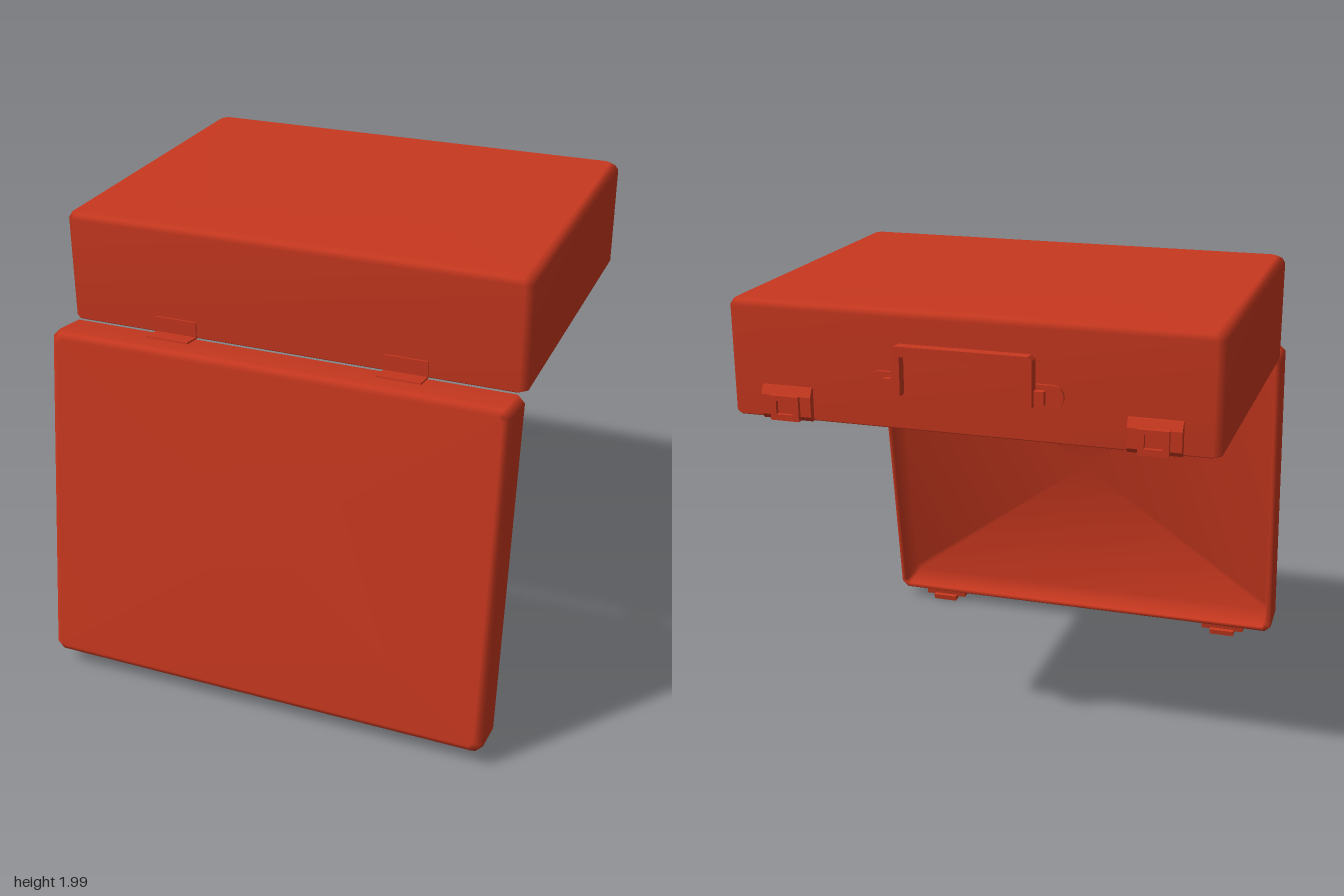
import * as THREE from 'three';

const red = new THREE.MeshStandardMaterial({ color: 0xc8381f });

function add(parent, geometry, name) {
  const mesh = new THREE.Mesh(geometry, red);
  mesh.name = name;
  parent.add(mesh);
  return mesh;
}

// Box given by its extents
function block(parent, name, x0, x1, y0, y1, z0, z1) {
  const mesh = add(parent, new THREE.BoxGeometry(x1 - x0, y1 - y0, z1 - z0), name);
  mesh.position.set((x0 + x1) / 2, (y0 + y1) / 2, (z0 + z1) / 2);
  return mesh;
}

// Rectangle with cut corners, at height y
function ring(hx, hz, cut, y) {
  const corners = [[hx, -hz + cut], [hx, hz - cut], [hx - cut, hz], [-hx + cut, hz],
    [-hx, hz - cut], [-hx, -hz + cut], [-hx + cut, -hz], [hx - cut, -hz]];
  return corners.flatMap(([x, z]) => [x, y, z]);
}

// Hollow shell, open at y = 0, with a bevelled closed top
function trayGeometry(hx, hz, height) {
  const wall = 0.025, bevel = 0.035;
  const inner = (y) => ring(hx - wall, hz - wall, 0.02, y);
  const rings = [
    ring(0, 0, 0, height - wall), inner(height - wall), inner(0),
    ring(hx - 0.006, hz - 0.006, 0.03, 0), ring(hx, hz, 0.03, 0.006),
    ring(hx, hz, 0.03, height - bevel), ring(hx - 0.012, hz - 0.012, 0.03, height - 0.012),
    ring(hx - bevel, hz - bevel, 0.02, height), ring(0, 0, 0, height),
  ];
  const index = [];
  for (let r = 0; r < rings.length - 1; r++) {
    for (let j = 0; j < 8; j++) {
      const a = r * 8 + j, b = r * 8 + (j + 1) % 8, c = a + 8, d = b + 8;
      if (r > 0) index.push(a, c, b);
      if (r === 0) index.push(a, c, d);
      else if (r < rings.length - 2) index.push(b, c, d);
    }
  }
  const geometry = new THREE.BufferGeometry();
  geometry.setAttribute('position', new THREE.Float32BufferAttribute(rings.flat(), 3));
  geometry.setIndex(index);
  geometry.computeVertexNormals();
  return geometry;
}

function extrude(points, depth) {
  const shape = new THREE.Shape(points.map(([x, y]) => new THREE.Vector2(x, y)));
  return new THREE.ExtrudeGeometry(shape, { depth, bevelEnabled: false });
}

export function createModel() {
  const model = new THREE.Group();
  model.name = 'openCase';

  // Upturned case body
  const base = new THREE.Group();
  base.name = 'caseBody';
  model.add(base);
  add(base, trayGeometry(0.985, 0.743, 0.475), 'bodyShell').position.set(0, 1.525, -0.168);

  // Lid hanging from the hinge line
  const lid = new THREE.Group();
  lid.name = 'lid';
  lid.position.set(0, 1.525, 0.58);
  lid.rotation.x = 1.433;
  model.add(lid);
  add(lid, trayGeometry(0.985, 0.744, 0.19), 'lidShell').position.z = 0.744;

  for (const s of [-1, 1]) {
    // Hinge leaves on the body and on the lid
    const x = s * 0.5;
    block(base, 'hingeBodyLeaf', x - 0.092, x + 0.092, 1.525, 1.598, 0.57, 0.582);
    block(lid, 'hingeLidLeaf', x - 0.092, x + 0.092, 0, 0.085, -0.007, 0.005);

    // Body latch: bevelled housing with a raised frame around a recess
    const latchX = s * 0.74;
    const housing = add(base, extrude([[0, 0], [0.012, 0], [0.03, 0.02], [0.03, 0.1],
      [0.012, 0.135], [0, 0.135]], 0.21), 'latchHousing');
    housing.rotation.y = Math.PI / 2;
    housing.position.set(latchX - 0.105, 1.525, -0.91);
    // The extrusion runs along +x with its profile facing -z
    const frame = new THREE.Shape([[-0.06, 0], [0.06, 0], [0.06, 0.1], [-0.06, 0.1]]
      .map(([px, py]) => new THREE.Vector2(px, py)));
    frame.holes.push(new THREE.Path([[-0.035, 0.025], [-0.035, 0.08], [0.035, 0.08], [0.035, 0.025]]
      .map(([px, py]) => new THREE.Vector2(px, py))));
    add(base, new THREE.ExtrudeGeometry(frame, { depth: 0.02, bevelEnabled: false }), 'latchFrame')
      .position.set(latchX, 1.528, -0.957);

    // Lid catch
    block(lid, 'catchPlate', latchX - 0.105, latchX + 0.105, 0.005, 0.065, 1.48, 1.512);
    block(lid, 'catchTongue', latchX - 0.06, latchX + 0.06, -0.015, 0.03, 1.505, 1.53);

    // Handle mount, rounded on its outer side
    const mount = new THREE.Shape();
    mount.moveTo(0.255, 1.665);
    mount.lineTo(0.345, 1.665);
    mount.absarc(0.345, 1.71, 0.045, -Math.PI / 2, Math.PI / 2, false);
    mount.lineTo(0.255, 1.755);
    const mountMesh = add(base, new THREE.ExtrudeGeometry(mount,
      { depth: 0.02, bevelEnabled: false, curveSegments: 6 }), 'handleMount');
    if (s < 0) mountMesh.rotation.z = Math.PI;
    mountMesh.position.set(0, s < 0 ? 3.42 : 0, -0.925);
    block(base, 'handlePivot', s * 0.285 - 0.035, s * 0.285 + 0.035, 1.68, 1.735, -0.95, -0.92);
  }

  // Carrying handle
  add(base, extrude([[-0.28, 1.675], [-0.245, 1.675], [-0.245, 1.83], [0.245, 1.83],
    [0.245, 1.675], [0.28, 1.675], [0.28, 1.855], [0.265, 1.87], [-0.265, 1.87],
    [-0.28, 1.855]], 0.045), 'handle').position.z = -0.97;

  // Turn the latch housings so their bevels face outward
  base.traverse((part) => {
    if (part.name === 'latchHousing') part.position.x += 0;
  });
  return model;
}
